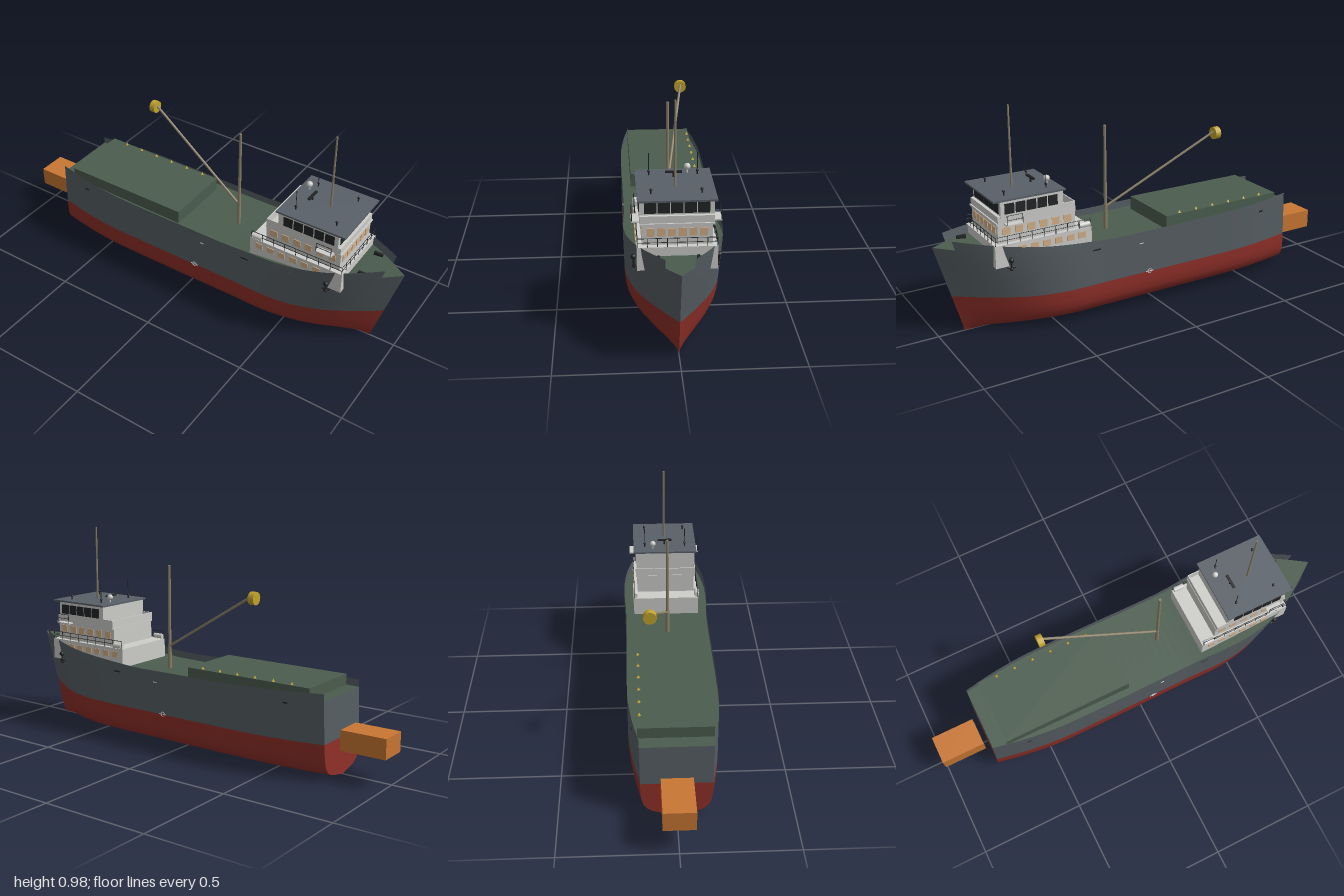
import * as THREE from 'three';

const mat = (name, color, side = THREE.FrontSide) => {
  const m = new THREE.MeshStandardMaterial({ color, side });
  m.name = name;
  return m;
};

// Smooth interpolation through a short table of [x, value] pairs
function curve(table) {
  const n = table.length;
  const slope = i => {
    const a = table[Math.max(i - 1, 0)], b = table[Math.min(i + 1, n - 1)];
    return (b[1] - a[1]) / (b[0] - a[0]);
  };
  return x => {
    let i = 0;
    while (i < n - 2 && x > table[i + 1][0]) i++;
    const [x0, a] = table[i], [x1, b] = table[i + 1], h = x1 - x0;
    const s = THREE.MathUtils.clamp((x - x0) / h, 0, 1), s2 = s * s, s3 = s2 * s;
    return a * (2 * s3 - 3 * s2 + 1) + b * (3 * s2 - 2 * s3)
      + h * (slope(i) * (s3 - 2 * s2 + s) + slope(i + 1) * (s3 - s2));
  };
}

// Surface through rows of points
function loft(rows, flip = false) {
  const m = rows[0].length, index = [];
  for (let i = 0; i < rows.length - 1; i++) {
    for (let j = 0; j < m - 1; j++) {
      const a = i * m + j, b = a + m, c = b + 1, d = a + 1;
      if (flip) index.push(a, c, b, a, d, c);
      else index.push(a, b, c, a, c, d);
    }
  }
  const g = new THREE.BufferGeometry();
  g.setAttribute('position', new THREE.Float32BufferAttribute(rows.flat(2), 3));
  g.setIndex(index);
  g.computeVertexNormals();
  return g;
}

export function createModel() {
  const root = new THREE.Group();
  root.name = 'cargoShip';
  const grey = mat('hullGrey', 0x565e63, THREE.DoubleSide);
  const red = mat('bottomRed', 0x8e2f28);
  const green = mat('deckGreen', 0x4b5d4e);
  const white = mat('houseWhite', 0xcdcdca);
  const roofGrey = mat('roofGrey', 0x596068);
  const black = mat('fittingBlack', 0x222426);
  const tan = mat('litWindow', 0xd3b088);
  const spar = mat('sparTan', 0x8c8269);
  const yellow = mat('yellow', 0xc2a52c);
  const orange = mat('orange', 0xc87632);

  const add = (name, geo, material, x = 0, y = 0, z = 0) => {
    const mesh = new THREE.Mesh(geo, material);
    mesh.name = name;
    mesh.position.set(x, y, z);
    root.add(mesh);
    return mesh;
  };
  // Box given by its limits
  const box = (name, material, x0, x1, y0, y1, z0, z1) =>
    add(name, new THREE.BoxGeometry(x1 - x0, y1 - y0, z1 - z0), material,
      (x0 + x1) / 2, (y0 + y1) / 2, (z0 + z1) / 2);
  // Round bar between two points
  const rod = (name, material, a, b, r0, r1 = r0, sides = 8) => {
    const p = new THREE.Vector3(...a), d = new THREE.Vector3(...b).sub(p);
    const mesh = add(name, new THREE.CylinderGeometry(r1, r0, d.length(), sides), material);
    mesh.position.copy(p).addScaledVector(d, 0.5);
    mesh.quaternion.setFromUnitVectors(new THREE.Vector3(0, 1, 0), d.normalize());
    return mesh;
  };
  const ball = (name, material, r, x, y, z) =>
    add(name, new THREE.SphereGeometry(r, 16, 12), material, x, y, z);

  // Hull lines
  const deckBeam = curve([[-0.77, 0.155], [-0.6, 0.184], [-0.4, 0.2], [0.3, 0.2], [0.48, 0.209],
    [0.6, 0.201], [0.7, 0.178], [0.8, 0.135], [0.9, 0.073], [1, 0]]);
  const lowBeam = curve([[-0.77, 0.15], [-0.6, 0.18], [-0.4, 0.199], [0.3, 0.199], [0.48, 0.198],
    [0.6, 0.183], [0.7, 0.155], [0.8, 0.112], [0.9, 0.058], [1, 0]]);
  const sheer = curve([[-0.77, 0.349], [-0.4, 0.337], [0.25, 0.333], [0.5, 0.355], [0.7, 0.378],
    [0.85, 0.398], [1, 0.414]]);
  const railTop = curve([[-0.77, 0.382], [-0.4, 0.37], [0, 0.366], [0.25, 0.367], [0.5, 0.391],
    [0.7, 0.417], [0.93, 0.449]]);
  const hullPoint = (s, y, k, side) => {
    const aft = -0.77 + 0.015 * y / 0.38, stem = 0.88 + 0.12 * y / 0.414;
    const beam = THREE.MathUtils.lerp(lowBeam(s), deckBeam(s), Math.min(y / 0.35, 1));
    return [aft + (stem - aft) * (s + 0.77) / 1.77, y, side * beam * k];
  };
  const N = 48, stations = Array.from({ length: N + 1 }, (_, i) => -0.77 + 1.77 * i / N);
  const bilge = [[0, 0], [0.35, 0.01], [0.65, 0.021], [0.82, 0.036], [0.92, 0.056], [0.98, 0.085], [1, 0.12]];
  const line = s => 0.165 + 0.01 * Math.max(s, 0) ** 2;
  const redRow = (s, side) =>
    [...bilge, [1, line(s)]].map(([k, y]) => hullPoint(s, y, k, side));
  const greyRow = (s, side) => [0, 0.33, 0.67, 1].map(f =>
    hullPoint(s, THREE.MathUtils.lerp(line(s), sheer(s), f), 1, side));
  const wallStations = Array.from({ length: 41 }, (_, i) => -0.77 + 1.693 * i / 40);
  for (const side of [1, -1]) {
    add('hullBottom', loft(stations.map(s => redRow(s, side)), side < 0), red);
    add('hullSide', loft(stations.map(s => greyRow(s, side)), side < 0), grey);
    add('bulwark', loft(wallStations.map(s =>
      [hullPoint(s, sheer(s), 1, side), hullPoint(s, railTop(s), 1, side)]), side < 0), grey);
  }
  add('transomBottom', loft([redRow(-0.77, -1), redRow(-0.77, 1)]), red);
  add('transom', loft([greyRow(-0.77, -1), greyRow(-0.77, 1)]), grey);
  add('deck', loft(stations.map(s =>
    [1, -1].map(side => hullPoint(s, sheer(s), 1, side)))), green);

  // Cargo hatch with lifting lugs along one edge
  box('hatch', green, -0.69, -0.06, 0.33, 0.397, -0.16, 0.16);
  for (let i = 0; i < 6; i++)
    add('hatchLug', new THREE.ConeGeometry(0.009, 0.014, 4), yellow, -0.6 + i * 0.0925, 0.403, -0.15);

  // Block astern
  box('sternBlock', orange, -1, -0.79, 0.125, 0.215, -0.068, 0.068);

  // Deckhouse tiers and bridge
  box('lowerHouse', white, 0.33, 0.785, 0.328, 0.428, -0.16, 0.16);
  box('middleHouse', white, 0.4, 0.762, 0.428, 0.515, -0.14, 0.14);
  box('bridgeDeck', white, 0.4, 0.768, 0.512, 0.52, -0.148, 0.148);
  box('wheelhouse', white, 0.46, 0.748, 0.52, 0.616, -0.148, 0.148);
  box('wheelhouseApron', white, 0.46, 0.762, 0.52, 0.55, -0.147, 0.147);
  box('wheelhouseRoof', roofGrey, 0.45, 0.782, 0.616, 0.624, -0.157, 0.157);
  box('aftBridgeWall', white, 0.402, 0.407, 0.52, 0.556, -0.146, 0.146);

  for (const side of [1, -1]) {
    const z = side * 0.146;
    box('sideBridgeWall', white, 0.402, 0.46, 0.52, 0.556, z - 0.002, z + 0.002);
    box('bridgeWing', white, 0.66, 0.735, 0.513, 0.519, side * 0.162 - 0.018, side * 0.162 + 0.018);
    for (let i = 0; i < 5; i++)
      box('bridgeSideWindow', black, 0.487 + i * 0.05, 0.53 + i * 0.05, 0.558, 0.603,
        side * 0.149 - 0.003, side * 0.149 + 0.003);
    for (let i = 0; i < 6; i++)
      box('cabinWindow', tan, 0.42 + i * 0.057, 0.455 + i * 0.057, 0.465, 0.498,
        side * 0.14 - 0.003, side * 0.14 + 0.003);
    for (let i = 0; i < 6; i++)
      box('lowerCabinWindow', tan, 0.36 + i * 0.057, 0.395 + i * 0.057, 0.384, 0.412,
        side * 0.16 - 0.003, side * 0.16 + 0.003);
    // Wing rails
    for (const x of [0.662, 0.733])
      rod('wingPost', black, [x, 0.516, side * 0.178], [x, 0.56, side * 0.178], 0.0014);
    for (const y of [0.54, 0.56])
      rod('wingRail', black, [0.662, y, side * 0.178], [0.733, y, side * 0.178], 0.0014);
    // House rails
    for (const y of [0.447, 0.465])
      rod('houseRail', black, [0.335, y, side * 0.158], [0.782, y, side * 0.158], 0.0014);
    for (let i = 0; i < 9; i++) {
      const x = 0.335 + i * 0.0559;
      rod('railPost', black, [x, 0.428, side * 0.158], [x, 0.465, side * 0.158], 0.0014);
    }
    // Life raft canister
    rod('raftCanister', white, [0.338, 0.44, side * 0.153], [0.388, 0.44, side * 0.153], 0.012, 0.012, 16);
    // Whip aerial and roof lamps
    for (const x of [0.515, 0.71]) {
      rod('lampPost', black, [x, 0.624, side * 0.1], [x, 0.64, side * 0.1], 0.003);
      ball('roofLamp', black, 0.006, x, 0.641, side * 0.1);
    }
    rod('whipAerial', black, [0.515, 0.624, side * 0.1], [0.515, 0.72, side * 0.1], 0.0015);
    // Anchor
    rod('anchorShank', black, [0.72, 0.32, side * 0.171], [0.72, 0.37, side * 0.173], 0.004);
    rod('anchorArms', black, [0.703, 0.325, side * 0.172], [0.737, 0.325, side * 0.166], 0.005);
    ball('anchorHead', black, 0.011, 0.72, 0.358, side * 0.173);
    ball('anchorCrown', black, 0.008, 0.72, 0.317, side * 0.17);
    // Foredeck bollards
    box('bollard', black, 0.822, 0.863, 0.39, 0.412, side * 0.078 - 0.006, side * 0.078 + 0.006);
    // Hull marks
    add('loadMark', new THREE.TorusGeometry(0.01, 0.0018, 6, 20), white, 0.055, 0.167, side * 0.2005);
    box('loadLine', white, 0.036, 0.074, 0.1655, 0.1685, side * 0.2 - 0.002, side * 0.2 + 0.002);
    box('sideMark', white, 0.09, 0.108, 0.309, 0.313, side * 0.2 - 0.002, side * 0.2 + 0.002);
    box('fairlead', black, 0.31, 0.345, 0.328, 0.334, side * 0.201 - 0.003, side * 0.201 + 0.003);
    box('fairlead', black, -0.6, -0.58, 0.323, 0.329, side * 0.185 - 0.003, side * 0.185 + 0.003);
  }

  // Front windows and front rail
  for (let i = 0; i < 5; i++) {
    const z = (i - 2) * 0.0525;
    box('bridgeFrontWindow', black, 0.745, 0.751, 0.557, 0.604, z - 0.024, z + 0.024);
  }
  for (let i = 0; i < 6; i++) {
    const z = (i - 2.5) * 0.042;
    box('cabinFrontWindow', tan, 0.759, 0.765, 0.465, 0.499, z - 0.016, z + 0.016);
  }
  for (const y of [0.447, 0.465])
    rod('frontRail', black, [0.782, y, -0.158], [0.782, y, 0.158], 0.0014);
  for (let i = 1; i < 8; i++) {
    const z = -0.158 + i * 0.0395;
    rod('frontRailPost', black, [0.782, 0.428, z], [0.782, 0.465, z], 0.0014);
  }

  // Radar and dome on the roof
  rod('radarPost', black, [0.54, 0.624, 0], [0.54, 0.645, 0], 0.004);
  box('radarBar', black, 0.534, 0.546, 0.643, 0.65, -0.035, 0.035);
  rod('domePost', white, [0.492, 0.624, -0.06], [0.492, 0.645, -0.06], 0.004);
  ball('dome', white, 0.014, 0.492, 0.65, -0.06);

  // Masts, cargo boom and its end block
  rod('cargoMastLower', spar, [0.17, 0.33, 0], [0.17, 0.45, 0], 0.009, 0.009, 12);
  rod('cargoMastUpper', spar, [0.17, 0.45, 0], [0.17, 0.825, 0], 0.0075, 0.006, 12);
  rod('signalMast', spar, [0.63, 0.62, 0], [0.63, 0.98, 0], 0.005, 0.004, 12);
  rod('cargoBoom', spar, [0.168, 0.44, 0], [-0.362, 0.742, -0.097], 0.006, 0.006, 10);
  rod('boomBlock', yellow, [-0.383, 0.733, -0.096], [-0.355, 0.733, -0.096], 0.029, 0.029, 14);

  return root;
}
